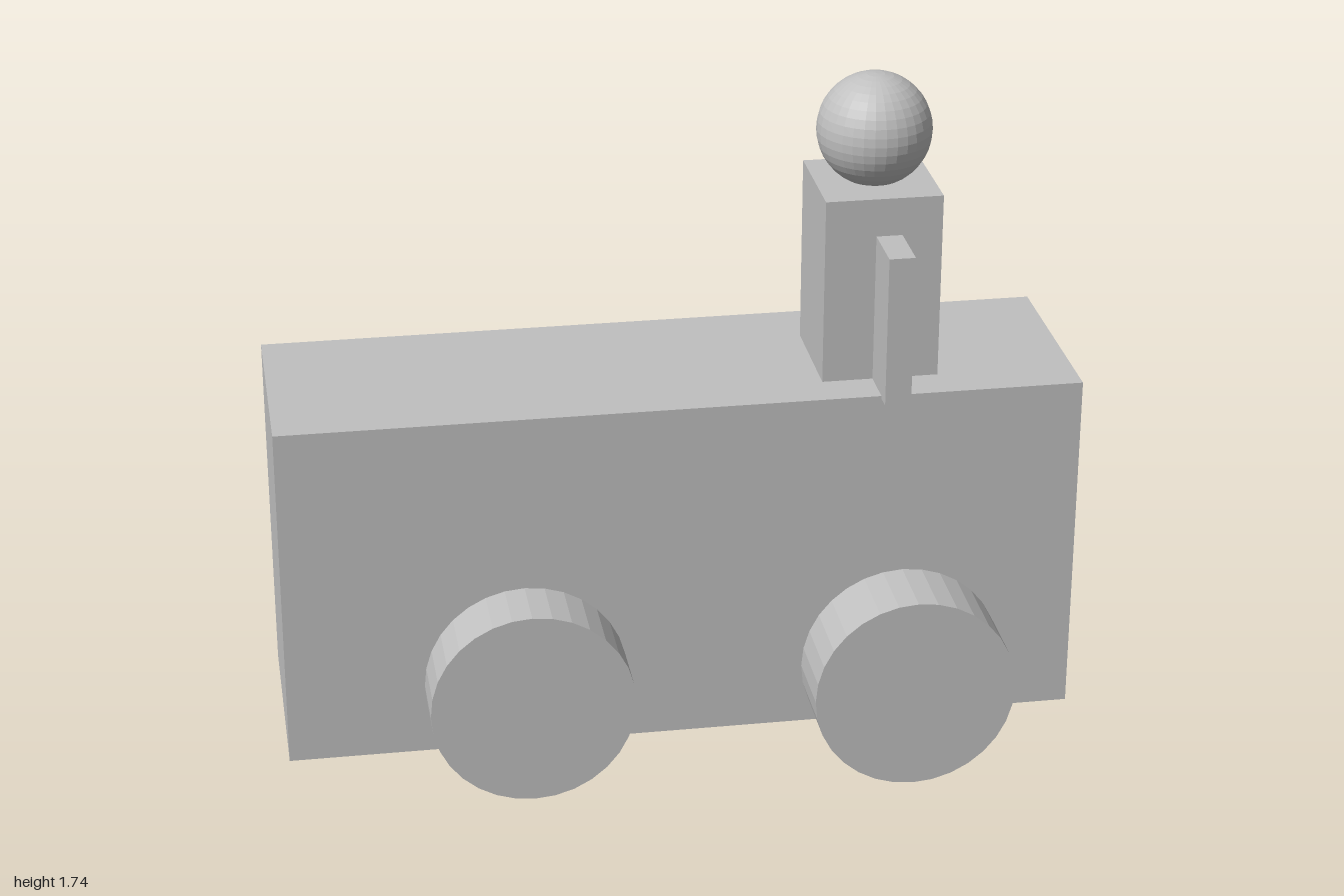
import * as THREE from 'three';

export function createModel() {
  const model = new THREE.Group();
  model.name = 'wagonWithRider';
  const grey = new THREE.MeshStandardMaterial({ color: 0xc0c0c0 });
  grey.name = 'plain grey';
  grey.flatShading = true;

  const add = (name, geometry, x, y, z, parent = model) => {
    const mesh = new THREE.Mesh(geometry, grey);
    mesh.name = name;
    mesh.position.set(x, y, z);
    parent.add(mesh);
    return mesh;
  };

  // Box given by its lower and upper corners
  const box = (name, lo, hi, parent) => {
    const size = hi.map((h, i) => h - lo[i]);
    const mid = hi.map((h, i) => (h + lo[i]) / 2);
    return add(name, new THREE.BoxGeometry(...size), ...mid, parent);
  };

  // Wagon body
  box('body', [-1, 0.1, -0.25], [1, 1, 0.3]);

  // Deep wheels, each running from its outer face to the middle
  const wheelDepth = 0.51;
  const wheelGeometry = new THREE.CylinderGeometry(0.255, 0.255, wheelDepth, 32).rotateX(Math.PI / 2);
  const wheels = [
    ['frontLeftWheel', 0.557, 0.26, 0.49],
    ['frontRightWheel', -0.4, 0.285, 0.46],
    ['backLeftWheel', 0.54, 0.272, -0.495],
    ['backRightWheel', -0.425, 0.27, -0.485],
  ];
  for (const [name, x, y, outerZ] of wheels) {
    add(name, wheelGeometry, x, y, outerZ - Math.sign(outerZ) * wheelDepth / 2);
  }

  // Rider: torso, two arms and a round head
  const rider = new THREE.Group();
  rider.name = 'rider';
  model.add(rider);
  box('torso', [0.363, 0.99, -0.095], [0.655, 1.477, 0.195], rider);
  box('frontArm', [0.49, 0.993, 0.18], [0.555, 1.38, 0.343], rider);
  box('backArm', [0.495, 0.988, -0.253], [0.56, 1.37, -0.08], rider);
  add('head', new THREE.SphereGeometry(0.143, 32, 20), 0.513, 1.602, 0.037, rider);

  return model;
}
